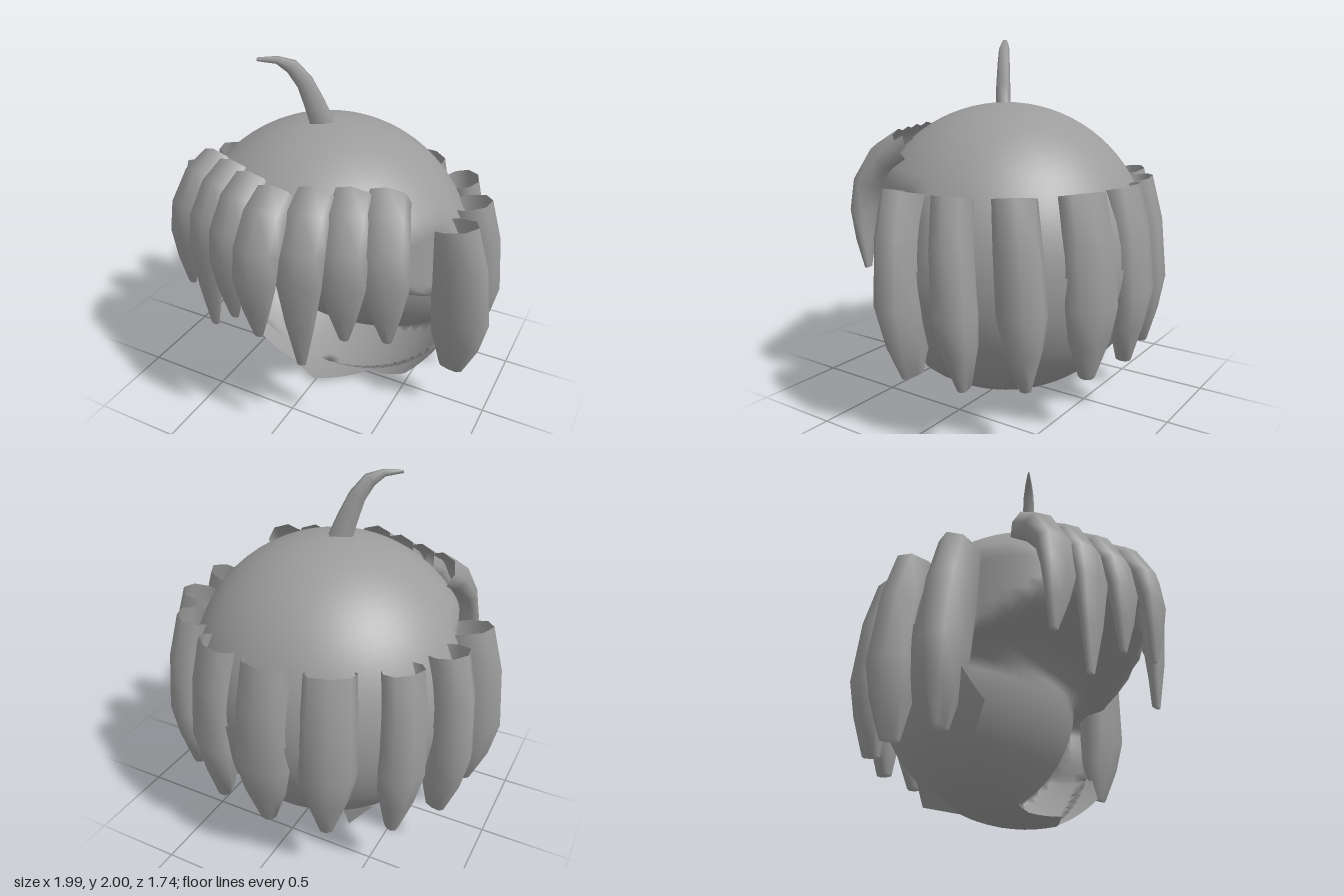
import * as THREE from 'three';
import { mergeVertices } from 'three/addons/utils/BufferGeometryUtils.js';

const R = 0.82, CY = 0.829, CZ = 0.03;

function meshFrom(name, positions, indices, material) {
  const geo = new THREE.BufferGeometry();
  geo.setAttribute('position', new THREE.Float32BufferAttribute(positions, 3));
  geo.setIndex(indices);
  geo.computeVertexNormals();
  const mesh = new THREE.Mesh(geo, material);
  mesh.name = name;
  return mesh;
}

// Lofted lock of hair, open at the root. Each row: [outward, y, halfWidth, halfDepth, sideways]
function lock(name, x, z, yaw, rows, material, sides = 8) {
  const out = new THREE.Vector3(Math.sin(yaw), 0, Math.cos(yaw));
  const side = new THREE.Vector3(Math.cos(yaw), 0, -Math.sin(yaw));
  const pos = [], idx = [];
  rows.forEach(([o, y, w, d, s = 0], i) => {
    const a = rows[Math.max(i - 1, 0)], b = rows[Math.min(i + 1, rows.length - 1)];
    const len = Math.hypot(b[0] - a[0], b[1] - a[1]);
    const nOut = -(b[1] - a[1]) / len, nUp = (b[0] - a[0]) / len;
    for (let j = 0; j < sides; j++) {
      const t = (j / sides) * Math.PI * 2, cos = Math.cos(t), n = Math.sin(t) * d;
      const c = Math.sign(cos) * Math.abs(cos) ** 0.75 * w;
      const p = new THREE.Vector3(x, y + nUp * n, z)
        .addScaledVector(out, o + nOut * n).addScaledVector(side, s + c);
      pos.push(p.x, p.y, p.z);
    }
  });
  for (let i = 0; i < rows.length - 1; i++) {
    for (let j = 0; j < sides; j++) {
      const k = (j + 1) % sides, p = i * sides, q = p + sides;
      idx.push(p + j, p + k, q + j, p + k, q + k, q + j);
    }
  }
  // tip cap
  const last = (rows.length - 1) * sides;
  for (let j = 1; j < sides - 1; j++) idx.push(last, last + j, last + j + 1);
  return meshFrom(name, pos, idx, material);
}

// Dome: overhanging crown, sloped underside behind the fringe, rounded recess below
function dome(material) {
  let geo = new THREE.SphereGeometry(R, 56, 40);
  geo.deleteAttribute('uv');
  geo.deleteAttribute('normal');
  geo = mergeVertices(geo.translate(0, CY, CZ), 1e-4);
  const p = geo.attributes.position;
  for (let i = 0; i < p.count; i++) {
    let x = p.getX(i), z = p.getZ(i);
    const y = p.getY(i), back = CZ - Math.abs(z - CZ) - 0.003;
    // inset the front below the crown edge
    const radius = Math.hypot(x, z - CZ);
    if (y < 1.24 && z > 0.1 && radius > 0.7) {
      x *= 0.7 / radius;
      z = CZ + (z - CZ) * 0.7 / radius;
    }
    const drop = (CY - y) / 0.78;
    const limit = y > CY - 0.01
      ? 0.2 + (y - CY) * 1.68
      : -0.75 + 0.95 * Math.sqrt(Math.max(0, 1 - drop * drop - x * x));
    if (z > CZ) z = Math.min(z, Math.max(limit, back));
    p.setXYZ(i, x, y, z);
  }
  geo.computeVertexNormals();
  const mesh = new THREE.Mesh(geo, material);
  mesh.name = 'hairDome';
  return mesh;
}

// Thin lower shell with a ragged front rim: [degrees from the bottom, rim z]
function napeShell(material) {
  const rim = [[-92, 0.05], [-75, 0.15], [-60, 0.24], [-46, 0.1], [-30, 0.13], [-12, 0.15],
    [0, 0.24], [20, 0.04], [32, 0.1], [44, 0.17], [60, 0.06], [75, 0.08], [92, 0.05]];
  const pos = [], idx = [], steps = 20, split = 4, r = R + 0.008;
  for (let i = 0; i <= (rim.length - 1) * split; i++) {
    const s = Math.min(Math.floor(i / split), rim.length - 2), f = i / split - s;
    const deg = THREE.MathUtils.lerp(rim[s][0], rim[s + 1][0], f);
    const z = THREE.MathUtils.lerp(rim[s][1], rim[s + 1][1], f);
    const a = THREE.MathUtils.degToRad(deg), end = Math.acos(-(z - CZ) / r);
    for (let j = 0; j <= steps; j++) {
      const t = (end * j) / steps, q = r * Math.sin(t);
      pos.push(q * Math.sin(a), CY - q * Math.cos(a), CZ - r * Math.cos(t));
      if (i && j) {
        const k = i * (steps + 1) + j, h = k - steps - 1;
        idx.push(h - 1, k - 1, k, h - 1, k, h);
      }
    }
  }
  return meshFrom('napeShell', pos, idx, material);
}

export function createModel() {
  const group = new THREE.Group();
  const hair = new THREE.MeshStandardMaterial({ color: 0x9c9c9c });
  hair.name = 'greyHair';
  hair.side = THREE.DoubleSide;

  group.add(dome(hair), napeShell(hair));

  // Fringe: seven arched locks, [root x, tip x, root z, tip y]
  const fringe = [[-0.49, -0.6, 0.34, 0.75], [-0.34, -0.4, 0.41, 0.58], [-0.18, -0.2, 0.49, 0.75],
    [0, 0, 0.57, 0.75], [0.18, 0.2, 0.49, 0.58], [0.34, 0.4, 0.41, 0.75], [0.49, 0.6, 0.34, 0.75]];
  for (const [x, tipX, z, tip] of fringe) {
    const yaw = x * 0.4, shift = tipX - x - Math.sin(yaw) * 0.23;
    group.add(lock('fringeLock', x, z, yaw, [
      [0, 1.43, 0.11, 0.1, 0],
      [0.115, 1.365, 0.12, 0.095, shift * 0.2],
      [0.215, 1.23, 0.13, 0.07, shift * 0.4],
      [0.248, 1.08, 0.125, 0.05, shift * 0.6],
      [0.245, (1.08 + tip) / 2, 0.08, 0.035, shift * 0.8],
      [0.23, tip, 0.025, 0.015, shift],
    ], hair));
  }

  // Hanging locks around sides and back: [x, z, half width, half depth, sideways drift]
  const hanging = [[0.765, 0.115, 0.105, 0.17, 0.055], [0.765, -0.18, 0.11, 0.14, 0.065],
    [0.63, -0.45, 0.125, 0.11, 0.05], [0.33, -0.65, 0.15, 0.1, 0.02], [0, -0.71, 0.16, 0.1, 0]];
  for (const [x, z, w, d, drift] of hanging) {
    for (const m of x ? [1, -1] : [1]) {
      group.add(lock('hangingLock', x * m, z, Math.atan2(x * m, z - CZ), [
        [-0.02, 1.235, w * 0.88, d * 0.9, 0],
        [0.03, 1.0, w * 0.95, d, m * drift * 0.25],
        [0.06, 0.68, w, d, m * drift * 0.6],
        [0.04, 0.5, w * 0.75, d * 0.85, m * drift * 0.8],
        [0.025, 0.3, w * 0.27, d * 0.42, m * drift],
      ], hair));
    }
  }

  // Curved sprig on the crown
  group.add(lock('crownSprig', -0.01, 0.06, Math.atan2(-0.29, 0.18), [
    [0, 1.6, 0.042, 0.075],
    [0.05, 1.74, 0.04, 0.062],
    [0.1, 1.86, 0.035, 0.05],
    [0.165, 1.945, 0.03, 0.04],
    [0.24, 1.98, 0.02, 0.02],
    [0.34, 1.985, 0.006, 0.01],
  ], hair, 6));

  // Loose flap under the back
  group.add(meshFrom('looseFlap',
    [-0.32, 0.09, -0.4, -0.45, 0.24, -0.36, -0.2, 0.06, -0.25], [0, 1, 2], hair));

  return group;
}
